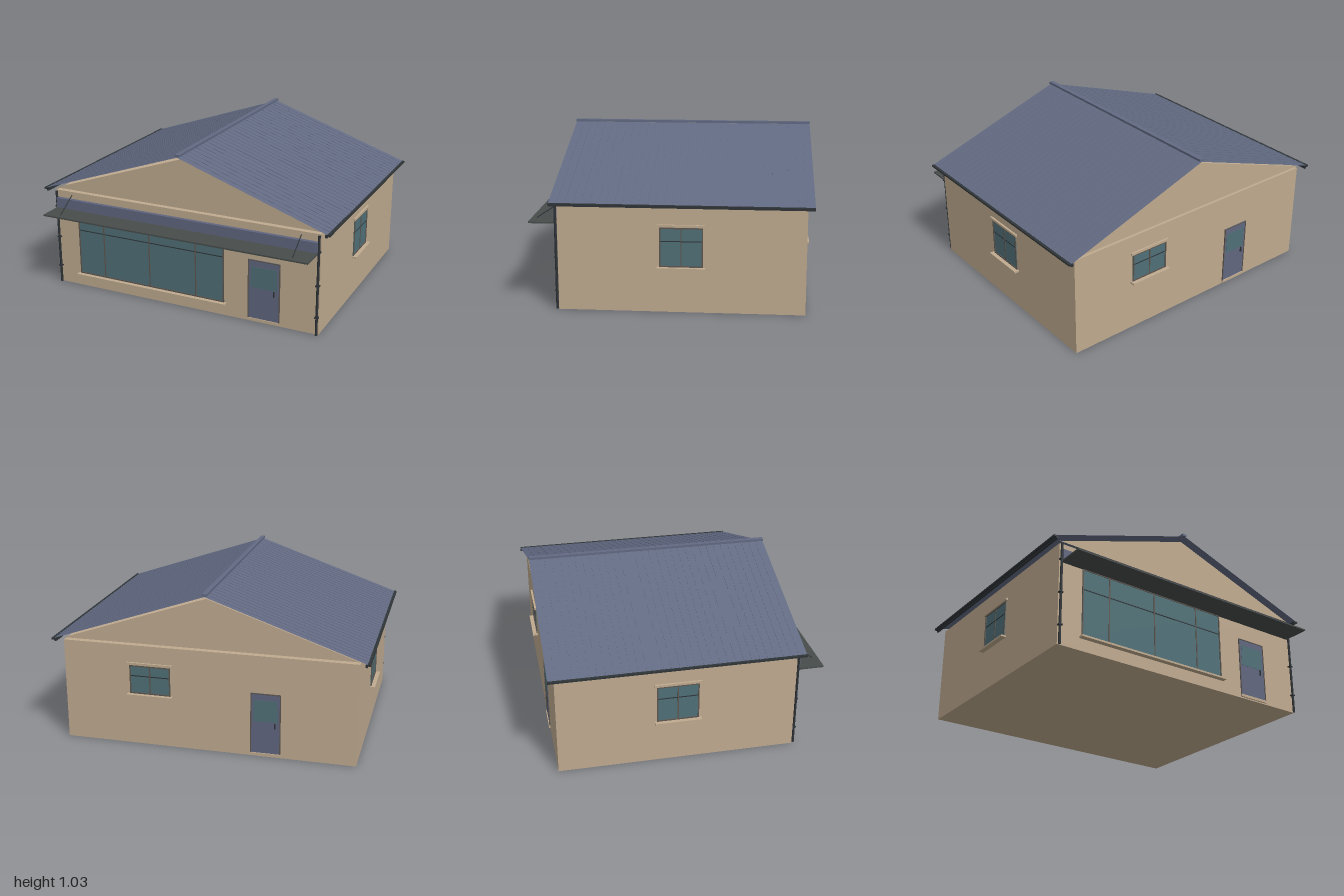
import * as THREE from 'three';

const material = (name, color, side = THREE.FrontSide) => {
  const m = new THREE.MeshStandardMaterial({ color, side });
  m.name = name;
  return m;
};

export function createModel() {
  const wall = material('sand render', 0xbfaa8f);
  const gableMat = material('sand gable', 0xbfaa8f, THREE.DoubleSide);
  const roofMat = material('slate blue roof', 0x626a82, THREE.DoubleSide);
  const blue = material('blue paint', 0x60667f);
  const glass = material('teal glass', 0x4f7077);
  const frame = material('brown frame', 0x5e564f);
  const dark = material('dark metal', 0x2f3438);
  const canopyMat = material('grey canopy', 0x484d4c);

  const model = new THREE.Group();
  model.name = 'shop';

  // Box given by its lower and upper corners
  const box = (parent, name, mat, x0, x1, y0, y1, z0, z1) => {
    const mesh = new THREE.Mesh(new THREE.BoxGeometry(x1 - x0, y1 - y0, z1 - z0), mat);
    mesh.position.set((x0 + x1) / 2, (y0 + y1) / 2, (z0 + z1) / 2);
    mesh.name = name;
    parent.add(mesh);
    return mesh;
  };
  // Group on one wall, its local +z pointing outwards
  const onWall = (name, x, z, angle) => {
    const g = new THREE.Group();
    g.name = name;
    g.position.set(x, 0, z);
    g.rotation.y = angle;
    model.add(g);
    return g;
  };
  // Straight round bar between two points
  const rod = (name, a, b, radius) => {
    const dir = b.clone().sub(a);
    const mesh = new THREE.Mesh(new THREE.CylinderGeometry(radius, radius, dir.length(), 6), dark);
    mesh.position.copy(a).addScaledVector(dir, 0.5);
    mesh.quaternion.setFromUnitVectors(new THREE.Vector3(0, 1, 0), dir.normalize());
    mesh.name = name;
    model.add(mesh);
  };

  const FRONT = 0.68, BACK = -0.82, SIDE = 0.935;

  // Walls and the two gables above a narrow vent gap
  box(model, 'walls', wall, -SIDE, SIDE, 0, 0.66, BACK, FRONT);
  const triangle = new THREE.Shape([
    new THREE.Vector2(-SIDE, 0.675), new THREE.Vector2(SIDE, 0.675), new THREE.Vector2(0, 0.995),
  ]);
  for (const [name, z, angle] of [['frontGable', FRONT, 0], ['backGable', BACK, Math.PI]]) {
    const gable = new THREE.Mesh(new THREE.ShapeGeometry(triangle), gableMat);
    gable.position.z = z;
    gable.rotation.y = angle;
    gable.name = name;
    model.add(gable);
  }

  // Roof slopes: thin sheets with low standing seams
  const RZ0 = -0.86, RZ1 = 0.72, EAVE_X = 0.985, EAVE_Y = 0.678, RIDGE_Y = 1.017;
  const run = Math.hypot(EAVE_X, RIDGE_Y - EAVE_Y);
  const pitch = Math.atan2(RIDGE_Y - EAVE_Y, EAVE_X);
  for (const s of [-1, 1]) {
    const slope = new THREE.Group();
    slope.name = s > 0 ? 'leftRoofSlope' : 'rightRoofSlope';
    slope.position.set(s * EAVE_X / 2, (EAVE_Y + RIDGE_Y) / 2, 0);
    slope.rotation.z = -s * pitch;
    const sheetGeo = new THREE.PlaneGeometry(run, RZ1 - RZ0).rotateX(-Math.PI / 2);
    const sheet = new THREE.Mesh(sheetGeo, roofMat);
    sheet.position.z = (RZ0 + RZ1) / 2;
    sheet.name = 'roofSheet';
    slope.add(sheet);
    for (let i = 1; i < 32; i++) {
      const z = RZ0 + (RZ1 - RZ0) * i / 32;
      box(slope, 'roofSeam', roofMat, -run / 2, run / 2, 0, 0.002, z - 0.002, z + 0.002);
    }
    model.add(slope);

    // Gutter with a lip along each eave
    const x = (a, b) => (s > 0 ? [a, b] : [-b, -a]);
    box(model, 'gutter', dark, ...x(0.978, 1), 0.668, 0.679, RZ0, RZ1);
    box(model, 'gutterLip', dark, ...x(0.97, 0.982), 0.658, 0.677, RZ0, RZ1);

    // Downpipe with brackets at each front corner
    rod('downpipe', new THREE.Vector3(s * 0.925, 0, 0.692), new THREE.Vector3(s * 0.925, 0.655, 0.692), 0.008);
    for (const y of [0.12, 0.33, 0.55])
      box(model, 'pipeBracket', dark, ...x(0.912, 0.937), y - 0.004, y + 0.004, FRONT, 0.702);

    // Canopy stay
    rod('canopyStay', new THREE.Vector3(s * 0.81, 0.64, 0.685), new THREE.Vector3(s * 0.81, 0.543, 0.83), 0.003);
  }
  box(model, 'ridgeCap', roofMat, -0.015, 0.015, 1.02, 1.035, RZ0, RZ1);

  // Fascia band and canopy over the shop front
  box(model, 'fasciaBand', blue, -0.92, 0.92, 0.545, 0.612, FRONT, 0.705);
  box(model, 'canopy', canopyMat, -0.92, 0.92, 0.535, 0.545, FRONT, 0.86);

  // Window: glass pane, outer frame, mullions, transom, sill and lintel
  const addWindow = (g, x0, x1, y0, y1, mullions, transom, sillDepth, lintel) => {
    const t = 0.008;
    box(g, 'glassPane', glass, x0, x1, y0, y1, 0, 0.003);
    for (const y of [y0, y1 - t]) box(g, 'frameRail', frame, x0, x1, y, y + t, 0, 0.007);
    for (const x of [x0, x1 - t]) box(g, 'frameStile', frame, x, x + t, y0, y1, 0, 0.007);
    for (const x of mullions) box(g, 'mullion', frame, x - t / 2, x + t / 2, y0, y1, 0, 0.006);
    box(g, 'transom', dark, x0, x1, transom - 0.003, transom + 0.003, 0, 0.005);
    box(g, 'windowSill', wall, x0 - 0.014, x1 + 0.014, y0 - 0.012, y0, 0, sillDepth);
    if (lintel) box(g, 'lintel', wall, x0 - 0.015, x1 + 0.015, y1 + 0.003, y1 + 0.018, 0, 0.013);
  };
  addWindow(onWall('shopWindow', 0, FRONT, 0), -0.77, 0.3, 0.09, 0.537, [-0.575, -0.235, 0.1], 0.4, 0.035, false);
  addWindow(onWall('leftWindow', SIDE, -0.07, Math.PI / 2), -0.132, 0.132, 0.285, 0.53, [0], 0.445, 0.033, true);
  addWindow(onWall('rightWindow', -SIDE, -0.07, -Math.PI / 2), -0.132, 0.132, 0.285, 0.53, [0], 0.445, 0.033, true);
  addWindow(onWall('backWindow', -0 + 0.37, BACK, Math.PI), -0.132, 0.132, 0.342, 0.53, [0], 0.46, 0.033, true);

  // Door: painted leaf with upper pane, frame, handle and threshold
  const addDoor = (g, w, handleX) => {
    const h = w / 2, t = 0.006;
    box(g, 'doorLeaf', blue, -h, h, 0.025, 0.42, 0, 0.004);
    box(g, 'doorPane', glass, -h + 0.02, h - 0.02, 0.235, 0.375, 0, 0.006);
    for (const x of [-h, h - t]) box(g, 'doorJamb', frame, x, x + t, 0.025, 0.42, 0, 0.007);
    box(g, 'doorHead', frame, -h, h, 0.414, 0.42, 0, 0.007);
    box(g, 'doorHandle', dark, handleX - 0.004, handleX + 0.004, 0.195, 0.23, 0, 0.012);
    box(g, 'threshold', wall, -h, h, 0.008, 0.025, 0, 0.01);
  };
  addDoor(onWall('frontDoor', 0.572, FRONT, 0), 0.215, 0.068);
  addDoor(onWall('backDoor', -0.37, BACK, Math.PI), 0.19, 0.06);

  return model;
}
